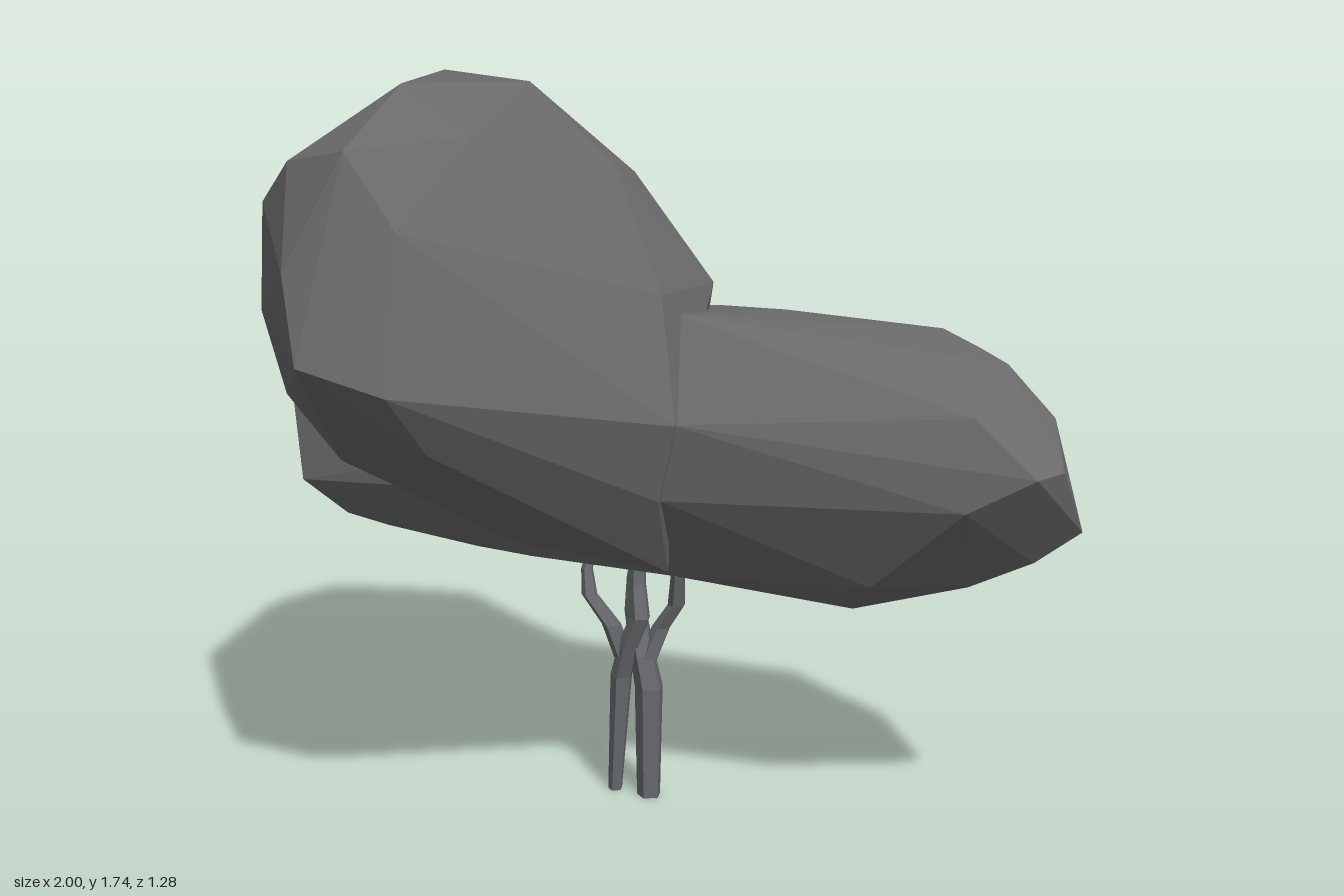
import * as THREE from 'three';
import { ConvexGeometry } from 'three/addons/geometries/ConvexGeometry.js';

const foliage = new THREE.MeshStandardMaterial({ color: 0x696969 });
foliage.name = 'foliage grey';
const bark = new THREE.MeshStandardMaterial({ color: 0x67696c });
bark.name = 'bark grey';

// Faceted clump of foliage wrapped around a few corner points
function clump(name, points) {
  const mesh = new THREE.Mesh(new ConvexGeometry(points.map(p => new THREE.Vector3(...p))), foliage);
  mesh.name = name;
  return mesh;
}

// Limb through stations [x, y, z, radius], listed from the bottom up
function limb(name, path, sides = 5) {
  const n = path.length - 1;
  const geo = new THREE.CylinderGeometry(1, 1, 1, sides, n).toNonIndexed();
  const pos = geo.attributes.position;
  for (let i = 0; i < pos.count; i++) {
    const [x, y, z, r] = path[Math.round((pos.getY(i) + 0.5) * n)];
    pos.setXYZ(i, x + pos.getX(i) * r, y, z + pos.getZ(i) * r);
  }
  geo.computeVertexNormals();
  const mesh = new THREE.Mesh(geo, bark);
  mesh.name = name;
  return mesh;
}

// Cross-section where the two low clumps meet
const waist = [
  [0.1, 0.58, -0.14], [0.14, 0.8, 0.02], [0.18, 0.98, 0.04], [0.1, 1.2, -0.12],
  [0.06, 1.18, -0.44], [0, 1.08, -0.55], [0, 0.95, -0.595], [0.05, 0.72, -0.53],
  [0.08, 0.57, -0.32],
];

export function createModel() {
  const tree = new THREE.Group();
  tree.name = 'tree';

  // Tall clump that leans out over the front
  tree.add(clump('tallCrown', [
    // outer side
    [-0.97, 0.95, -0.31], [-0.94, 1.13, -0.32], [-0.87, 1.47, -0.27], [-0.87, 1.2, 0],
    [-0.76, 1.2, 0.27], [-0.72, 1.45, 0.3], [-0.8, 0.98, 0.14], [-0.72, 1.62, -0.39],
    [-0.78, 1.6, -0.09],
    // underside of the overhang
    [-0.6, 0.85, 0.2], [-0.25, 0.65, 0], [0.1, 0.6, -0.1], [0.14, 0.8, 0.03],
    [-0.17, 0.96, 0.48], [-0.02, 1.03, 0.34], [-0.63, 1.03, 0.33],
    // front
    [-0.18, 1.1, 0.61], [-0.38, 1.15, 0.64], [-0.46, 1.33, 0.57], [-0.22, 1.42, 0.5],
    [-0.56, 1.55, 0.41], [-0.36, 1.58, 0.48],
    // top
    [-0.59, 1.735, -0.25], [-0.32, 1.71, -0.2], [-0.42, 1.71, 0.18], [-0.23, 1.6, 0.2],
    [-0.09, 1.52, -0.2], [-0.11, 1.5, -0.33], [-0.42, 1.64, -0.48],
    // inner shoulder
    [0.1, 1.25, -0.06], [0.1, 1.25, -0.33], [0.19, 0.98, 0.05], [0, 1.15, -0.49],
    // back
    [-0.37, 1.45, -0.62], [-0.76, 1.4, -0.44], [-0.82, 1.1, -0.49], [-0.5, 1.08, -0.6],
    [-0.3, 1.05, -0.6], [-0.8, 0.82, -0.44], [-0.5, 0.76, -0.53], [-0.22, 0.76, -0.53],
  ]));

  // Low clump beneath the tall one
  tree.add(clump('lowCrownRight', [
    ...waist,
    [-1, 0.95, -0.32], [-0.94, 0.73, -0.21], [-0.94, 1.13, -0.34], [-0.95, 0.9, -0.1],
    [-0.82, 1.1, -0.49], [-0.8, 0.8, -0.46], [-0.82, 0.96, 0.09], [-0.8, 0.76, 0.09],
    [-0.72, 0.67, 0.02], [-0.74, 0.59, -0.18], [-0.53, 0.54, -0.27], [-0.53, 0.64, -0.01],
    [-0.25, 0.6, -0.07], [-0.25, 0.56, -0.38], [-0.5, 0.72, -0.53], [-0.2, 0.69, -0.54],
    [-0.5, 1.03, -0.605], [-0.2, 0.95, -0.605],
  ]));

  // Low clump that reaches out sideways
  tree.add(clump('lowCrownLeft', [
    ...waist,
    // top
    [0.25, 1.185, -0.41], [0.62, 1.16, -0.46], [0.5, 1.07, -0.15], [0.81, 1.11, -0.34],
    [0.8, 1.02, -0.15], [0.67, 1.1, -0.59], [0.33, 1.13, -0.52],
    // tip
    [0.92, 1, -0.34], [0.98, 0.91, -0.21], [1, 0.76, -0.31], [0.94, 0.9, -0.15],
    [0.9, 0.9, -0.48], [0.9, 0.68, -0.3],
    // front and underside
    [0.6, 0.82, -0.11], [0.8, 0.82, -0.11], [0.57, 0.61, -0.17], [0.5, 0.53, -0.25],
    [0.76, 0.61, -0.28], [0.4, 0.56, -0.4],
    // back
    [0.53, 0.97, -0.645], [0.55, 0.68, -0.52], [0.75, 0.7, -0.48], [0.25, 0.97, -0.61],
    [0.3, 0.7, -0.53],
  ]));

  // Two crossing trunks
  tree.add(limb('leftTrunk', [
    [0.011, 0, -0.185, 0.03], [0.013, 0.28, -0.18, 0.036], [-0.005, 0.36, -0.18, 0.032],
    [-0.035, 0.46, -0.2, 0.028], [-0.04, 0.54, -0.21, 0.023], [-0.025, 0.66, -0.22, 0.02],
  ]));
  tree.add(limb('rightTrunk', [
    [-0.08, 0, -0.18, 0.018], [-0.06, 0.3, -0.175, 0.028], [-0.035, 0.38, -0.165, 0.028],
    [0, 0.46, -0.155, 0.026], [-0.015, 0.54, -0.17, 0.022], [-0.02, 0.66, -0.18, 0.02],
  ]));

  // Branches that fork outward into the foliage
  tree.add(limb('rightBranch', [
    [-0.05, 0.34, -0.175, 0.026], [-0.08, 0.43, -0.16, 0.024], [-0.135, 0.5, -0.15, 0.02],
    [-0.147, 0.56, -0.16, 0.015], [-0.14, 0.66, -0.2, 0.012],
  ]));
  tree.add(limb('leftBranch', [
    [0.005, 0.34, -0.18, 0.026], [0.035, 0.43, -0.2, 0.024], [0.075, 0.49, -0.2, 0.022],
    [0.088, 0.57, -0.18, 0.018], [0.07, 0.66, -0.2, 0.013],
  ]));

  return tree;
}
